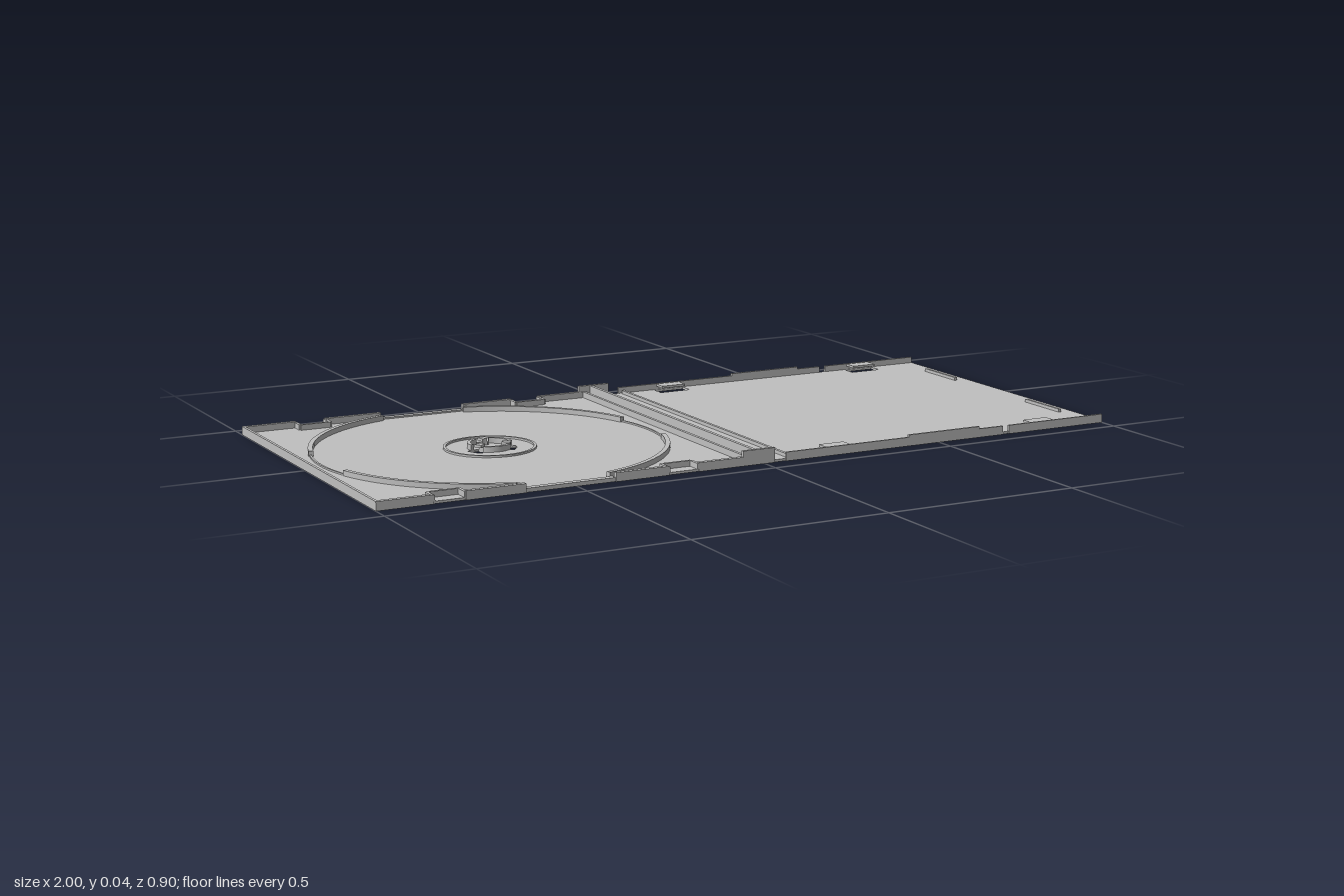
import * as THREE from 'three';

export function createModel() {
  const model = new THREE.Group();
  const grey = new THREE.MeshStandardMaterial({ color: 0xc0c0c0 });
  grey.name = 'grey plastic';
  const FLOOR = 0.006, TRAY_X = -0.52, RAD = Math.PI / 180;

  function add(name, geometry) {
    const mesh = new THREE.Mesh(geometry, grey);
    mesh.name = name;
    model.add(mesh);
    return mesh;
  }
  // box given by its limits on each axis
  function box(name, x0, x1, y0, y1, z0, z1) {
    const g = new THREE.BoxGeometry(x1 - x0, y1 - y0, z1 - z0);
    add(name, g.translate((x0 + x1) / 2, (y0 + y1) / 2, (z0 + z1) / 2));
  }
  // the same box at the front and back edges; za and zb are distances from the middle
  function pair(name, x0, x1, y0, y1, za, zb) {
    box(name + 'Front', x0, x1, y0, y1, za, zb);
    box(name + 'Back', x0, x1, y0, y1, -zb, -za);
  }
  // flat outline raised from y0 to y1
  function slab(name, shape, y0, y1) {
    const g = new THREE.ExtrudeGeometry(shape, { depth: y1 - y0, bevelEnabled: false, curveSegments: 32 });
    add(name, g.rotateX(-Math.PI / 2).translate(0, y0, 0));
  }
  function rect(target, x0, x1, z0, z1) {
    target.moveTo(x0, z0).lineTo(x1, z0).lineTo(x1, z1).lineTo(x0, z1).closePath();
    return target;
  }
  // piece of a ring around the middle of the disc tray, angles in degrees
  function sector(target, r0, r1, a0, a1) {
    target.absarc(TRAY_X, 0, r1, a0 * RAD, a1 * RAD, false);
    target.absarc(TRAY_X, 0, r0, a1 * RAD, a0 * RAD, true);
    target.closePath();
    return target;
  }

  // tray floor with three openings beside the hub clips
  const trayFloor = rect(new THREE.Shape(), -1, -0.042, -0.447, 0.447);
  const clipAngles = [90, 210, 330];
  for (const a of clipAngles) trayFloor.holes.push(sector(new THREE.Path(), 0.034, 0.066, a - 20, a + 20));
  slab('trayFloor', trayFloor, 0, FLOOR);

  // lid floor with an opening under each tab
  const lidFloor = rect(new THREE.Shape(), -0.028, 1, -0.447, 0.447);
  const lidTabs = [0.21, 0.817];
  for (const x of lidTabs) for (const s of [-1, 1]) {
    lidFloor.holes.push(rect(new THREE.Path(), x - 0.044, x + 0.044,
      Math.min(s * 0.4, s * 0.441), Math.max(s * 0.4, s * 0.441)));
  }
  slab('lidFloor', lidFloor, 0, FLOOR);

  // tray walls, jogging inwards around the pockets for the lid tabs
  box('trayEndWall', -1, -0.993, 0, 0.022, -0.447, 0.447);
  for (const [x0, x1] of [[-1, -0.86], [-0.78, -0.63], [-0.4, -0.26], [-0.18, -0.042]])
    pair('traySideWall', x0, x1, 0, 0.022, 0.438, 0.45);
  for (const x of [-0.82, -0.22]) {
    pair('pocketWall', x - 0.04, x + 0.04, FLOOR, 0.02, 0.404, 0.412);
    for (const s of [-1, 1])
      pair('pocketSide', x + s * 0.04 - 0.004, x + s * 0.04 + 0.004, FLOOR, 0.02, 0.408, 0.448);
  }
  pair('fingerNotchSill', -0.63, -0.4, FLOOR, 0.01, 0.43, 0.447);

  // rims that hold the disc, with low ridges across the gaps
  for (let q = 0; q < 4; q++) {
    const a = q % 2 ? 90 * q + 15 : 90 * q + 15;
    slab('discRim', sector(new THREE.Shape(), 0.431, 0.443, a, a + 60), FLOOR, 0.019);
  }
  for (const a of [0, 180])
    slab('discRidge', sector(new THREE.Shape(), 0.436, 0.441, a - 15, a + 15), FLOOR, 0.01);

  // hub: outer ring, broken collar and three spring clips
  slab('hubOuterRing', sector(new THREE.Shape(), 0.108, 0.115, 0, 180), FLOOR, 0.011);
  slab('hubOuterRing', sector(new THREE.Shape(), 0.108, 0.115, 180, 360), FLOOR, 0.011);
  for (const a of clipAngles) {
    slab('hubCollar', sector(new THREE.Shape(), 0.047, 0.056, a + 20, a + 100), FLOOR, 0.02);
    slab('hubClip', sector(new THREE.Shape(), 0.032, 0.052, a - 12, a + 12), 0.015, 0.022);
    slab('hubClipRoot', sector(new THREE.Shape(), 0.03, 0.036, a - 12, a + 12), 0, 0.022);
  }

  // hinge: tray edge, tall spine and end lugs bridging the slit
  box('trayHingeWall', -0.05, -0.042, 0, 0.022, -0.44, 0.44);
  box('spineWall', -0.028, -0.019, 0, 0.036, -0.44, 0.44);
  pair('hingeLug', -0.06, 0.028, 0, 0.037, 0.441, 0.45);

  // lid walls, tabs, crossbar and booklet stops
  for (const [x0, x1] of [[0.06, 0.692], [0.71, 1]]) pair('lidSideWall', x0, x1, 0, 0.022, 0.444, 0.45);
  pair('lidGrip', 0.41, 0.62, 0.02, 0.028, 0.443, 0.45);
  for (const x of lidTabs) pair('lidTab', x - 0.035, x + 0.035, 0.015, 0.021, 0.409, 0.447);
  box('lidCrossbar', 0.066, 0.074, FLOOR, 0.015, -0.437, 0.437);
  pair('bookletStop', 0.961, 0.969, FLOOR, 0.014, 0.167, 0.316);

  return model;
}
